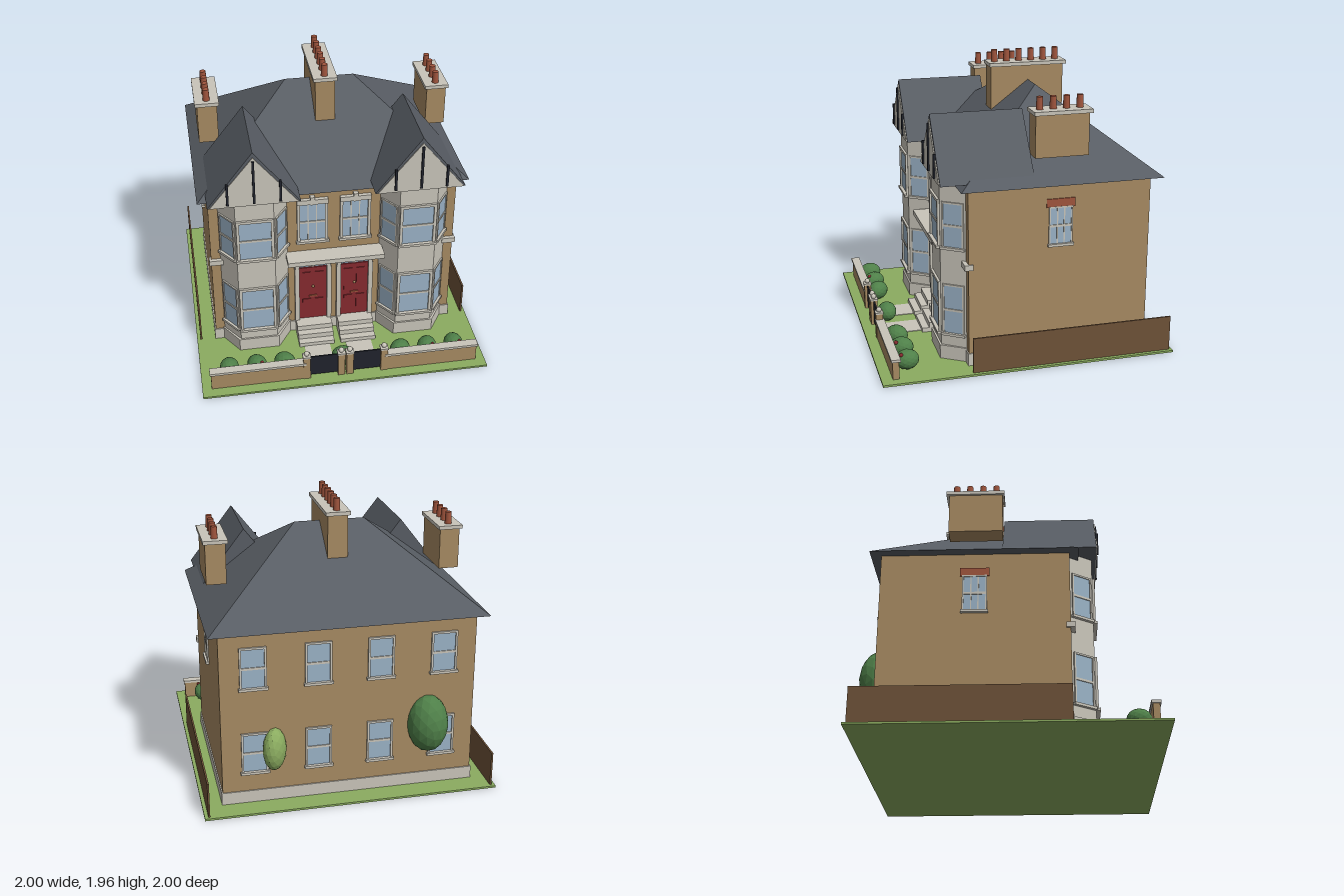
import * as THREE from 'three';

const mat = (name, color, flat = false) =>
  Object.assign(new THREE.MeshStandardMaterial({ color, flatShading: flat }), { name });
const brick = mat('buff brick', 0xa78a62), stone = mat('pale stone', 0xc9c5ba);
const slate = mat('slate', 0x585d64), glass = mat('window glass', 0x9ab2c6);
const red = mat('door red', 0x862a2f), black = mat('black paint', 0x20232c);
const clay = mat('terracotta', 0xa0553d), lawn = mat('grass green', 0x8bac60, true);
const leaf = mat('leaf green', 0x4f8049, true), wood = mat('fence brown', 0x6e5238);

function add(parent, name, geo, material, x = 0, y = 0, z = 0) {
  const m = new THREE.Mesh(geo, material);
  m.name = name;
  m.position.set(x, y, z);
  parent.add(m);
  return m;
}

// Box given by its limits on each axis
function box(parent, name, material, x0, x1, y0, y1, z0, z1) {
  return add(parent, name, new THREE.BoxGeometry(x1 - x0, y1 - y0, z1 - z0), material,
    (x0 + x1) / 2, (y0 + y1) / 2, (z0 + z1) / 2);
}

// Flat outline [x, y] pushed forward in z
function prism(points, depth) {
  const shape = new THREE.Shape(points.map(p => new THREE.Vector2(...p)));
  return new THREE.ExtrudeGeometry(shape, { depth, bevelEnabled: false });
}

function group(parent, name, x = 0, y = 0, z = 0, ry = 0) {
  const g = new THREE.Group();
  g.name = name;
  g.position.set(x, y, z);
  g.rotation.y = ry;
  parent.add(g);
  return g;
}

// Sash window facing local +z, origin at the bottom centre of the glass
function sashWindow(parent, name, x, y, z, ry, w, h, frame, bars, depth = 0.016) {
  const g = group(parent, name, x, y, z, ry), a = w / 2, b = a + frame;
  box(g, 'pane', glass, -a, a, 0, h, -0.005, 0.004);
  for (const s of [-1, 1])
    box(g, 'jamb', stone, Math.min(s * a, s * b), Math.max(s * a, s * b), 0, h, -0.005, depth);
  box(g, 'head', stone, -b, b, h, h + frame, -0.005, depth);
  box(g, 'sill', stone, -b - 0.008, b + 0.008, -0.018, 0, -0.005, depth + 0.012);
  box(g, 'meetingRail', stone, -a, a, h * 0.47, h * 0.47 + 0.016, 0, 0.01);
  for (let i = 1; i <= bars; i++) {
    const bx = -a + (w * i) / (bars + 1);
    box(g, 'glazingBar', stone, bx - 0.004, bx + 0.004, 0, h, 0, 0.009);
  }
  return g;
}

// Hipped roof: four slopes and a flat soffit
function hipRoof() {
  const X = 0.93, zf = 0.46, zb = -0.91, zr = -0.225, y = 1.235, t = 1.755, r = 0.24;
  const A = [-X, y, zf], B = [X, y, zf], C = [X, y, zb], D = [-X, y, zb], L = [-r, t, zr], R = [r, t, zr];
  const tris = [A, B, R, A, R, L, C, D, L, C, L, R, B, C, R, D, A, L, A, D, C, A, C, B];
  const g = new THREE.BufferGeometry();
  g.setAttribute('position', new THREE.Float32BufferAttribute(tris.flat(), 3));
  g.computeVertexNormals();
  return g;
}

function chimney(parent, name, x, y0, y1, z0, z1, pots) {
  const g = group(parent, name, x);
  box(g, 'stack', brick, -0.068, 0.068, y0, y1, z0, z1);
  box(g, 'cap', stone, -0.083, 0.083, y1 - 0.005, y1 + 0.02, z0 - 0.02, z1 + 0.012);
  for (const z of pots)
    add(g, 'pot', new THREE.CylinderGeometry(0.021, 0.024, 0.085, 12), clay, 0, y1 + 0.06, z);
}

// Canted bay with windows on two floors and a half-timbered gable
function bay(parent, x) {
  const g = group(parent, 'bay', x);
  const plan = k => [[-0.235 - k, -0.39], [-0.235 - k, -0.4], [-0.13 - k, -0.55 - k],
    [0.13 + k, -0.55 - k], [0.235 + k, -0.4], [0.235 + k, -0.39]];
  const layer = (name, k, y0, y1) =>
    add(g, name, prism(plan(k), y1 - y0).rotateX(-Math.PI / 2), stone, 0, y0);
  layer('bayWalls', 0, 0.01, 1.272);
  layer('bayBase', 0.012, 0.01, 0.11);
  for (const [y, h] of [[0.205, 0.335], [0.815, 0.295]]) {
    sashWindow(g, 'bayFrontWindow', 0, y, 0.55, 0, 0.215, h, 0.02, 0);
    for (const s of [-1, 1])
      sashWindow(g, 'baySideWindow', s * 0.1825, y, 0.475, s * Math.atan2(0.15, 0.105), 0.13, h, 0.012, 0, 0.01);
  }
  add(g, 'gableRoof', prism([[-0.31, 1.27], [0.31, 1.27], [0, 1.67]], 0.62), slate, 0, 0, -0.04);
  add(g, 'gablePanel', prism([[-0.295, 1.272], [0.295, 1.272], [0, 1.635]], 0.008), stone, 0, 0, 0.579);
  for (const [tx, top] of [[-0.175, 1.45], [0, 1.61], [0.175, 1.45]])
    box(g, 'timber', black, tx - 0.008, tx + 0.008, 1.29, top, 0.58, 0.598);
}

// Door with fanlight, pilasters and steps
function entrance(parent, x) {
  const g = group(parent, 'entrance', x);
  box(g, 'door', red, -0.1, 0.1, 0.12, 0.578, 0.395, 0.41);
  for (const s of [-1, 1]) {
    for (const [y0, y1] of [[0.16, 0.3], [0.35, 0.54]])
      box(g, 'doorPanel', red, s * 0.045 - 0.03, s * 0.045 + 0.03, y0, y1, 0.405, 0.416);
    box(g, 'pilaster', stone, s * 0.115 - 0.016, s * 0.115 + 0.016, 0.1, 0.585, 0.395, 0.43);
  }
  box(g, 'letterPlate', clay, -0.028, 0.028, 0.319, 0.331, 0.41, 0.418);
  add(g, 'doorKnob', new THREE.SphereGeometry(0.01, 10, 8), brick, 0, 0.415, 0.42);
  const arch = group(g, 'fanlight', 0, 0.582, 0.402);
  arch.scale.y = 0.86;
  add(arch, 'fanGlass', new THREE.CircleGeometry(0.1, 24, 0, Math.PI), glass, 0, 0, 0.003);
  const ring = new THREE.Shape();
  ring.absarc(0, 0, 0.128, 0, Math.PI, false);
  ring.absarc(0, 0, 0.1, Math.PI, 0, true);
  add(arch, 'archRing', new THREE.ExtrudeGeometry(ring, { depth: 0.028, bevelEnabled: false, curveSegments: 16 }), stone);
  for (const a of [-0.85, -0.28, 0.28, 0.85]) {
    const bar = add(arch, 'fanBar', new THREE.BoxGeometry(0.006, 0.1, 0.008).translate(0, 0.05, 0), stone, 0, 0, 0.004);
    bar.rotation.z = a;
  }
  for (let i = 0; i < 3; i++)
    box(g, 'step', stone, -0.127, 0.127, 0.01, 0.045 + i * 0.038, 0.4, 0.6 - i * 0.05);
  box(g, 'path', stone, -0.092, 0.092, 0.01, 0.018, 0.59, 0.88);
  box(g, 'gate', black, -0.099, 0.099, 0.03, 0.19, 0.9, 0.91);
}

function bush(parent, name, material, x, y, z, sx, sy, sz) {
  const m = add(parent, name, new THREE.IcosahedronGeometry(1, 2), material, x, y, z);
  m.scale.set(sx, sy, sz);
  m.rotation.y = x * 2;
}

export function createModel() {
  const model = new THREE.Group();
  model.name = 'house';
  box(model, 'lawn', lawn, -1, 1, 0, 0.014, -1, 1);

  // Main block and roof
  box(model, 'walls', brick, -0.86, 0.86, 0.01, 1.238, -0.84, 0.4);
  box(model, 'plinth', stone, -0.868, 0.868, 0.01, 0.1, -0.848, 0.408);
  add(model, 'mainRoof', hipRoof(), slate);
  chimney(model, 'centreChimney', 0, 1.5, 1.86, -0.478, 0.04, [0, -0.088, -0.176, -0.264, -0.352, -0.44]);
  box(model, 'porchCanopy', stone, -0.34, 0.34, 0.69, 0.725, 0.39, 0.535);
  box(model, 'canopyMoulding', stone, -0.31, 0.31, 0.675, 0.69, 0.39, 0.45);

  for (const s of [-1, 1]) {
    bay(model, s * 0.56);
    entrance(model, s * 0.15);
    chimney(model, 'sideChimney', s * 0.8, 1.41, 1.695, -0.4, -0.04, [-0.085, -0.175, -0.265, -0.355]);
    box(model, 'stringCourse', stone, s * 0.825 - 0.048, s * 0.825 + 0.048, 0.69, 0.728, 0.37, 0.428);

    // Upper front window with hood and keystone
    const w = sashWindow(model, 'frontWindow', s * 0.15, 0.82, 0.4, 0, 0.175, 0.3, 0.02, 2, 0.02);
    box(w, 'hood', stone, -0.108, 0.108, 0.305, 0.342, -0.005, 0.028);
    box(w, 'keystone', stone, -0.016, 0.016, 0.305, 0.366, -0.005, 0.034);

    // Side window with brick lintel
    const sw = sashWindow(model, 'sideWindow', s * 0.86, 0.822, -0.22, s * Math.PI / 2, 0.142, 0.245, 0.01, 2, 0.01);
    box(sw, 'lintel', clay, -0.097, 0.097, 0.25, 0.308, -0.005, 0.008);

    // Rear windows
    for (const x of [0.21, 0.64])
      for (const y of [0.245, 0.85])
        sashWindow(model, 'rearWindow', s * x, y, -0.84, Math.PI, 0.15, 0.265, 0.014, 0, 0.014);

    // Boundary fence, front wall and gate piers
    box(model, 'fence', wood, s * 0.97 - 0.006, s * 0.97 + 0.006, 0.01, 0.258, -0.98, 0.4);
    box(model, 'frontWall', brick, s * 0.61 - 0.325, s * 0.61 + 0.325, 0.01, 0.137, 0.882, 0.925);
    box(model, 'wallCoping', stone, s * 0.61 - 0.333, s * 0.61 + 0.333, 0.137, 0.155, 0.872, 0.934);
    for (const x of [0.03, 0.272]) {
      const p = group(model, 'gatePier', s * x, 0, 0.905);
      box(p, 'pierShaft', brick, -0.024, 0.024, 0.01, 0.195, -0.024, 0.024);
      box(p, 'pierCap', stone, -0.028, 0.028, 0.195, 0.207, -0.028, 0.028);
      add(p, 'pierBall', new THREE.SphereGeometry(0.019, 12, 8), stone, 0, 0.222, 0);
    }
  }

  // Planting
  for (const x of [-0.8, -0.605, -0.41, 0, 0.41, 0.605, 0.8])
    bush(model, 'frontBush', leaf, x, 0.083, 0.807, 0.081, 0.068, 0.068);
  for (const [x, z] of [[-0.575, 0.845], [0.635, 0.85], [0.83, 0.85]])
    add(model, 'flower', new THREE.SphereGeometry(0.014, 8, 6), red, x, 0.13, z);
  bush(model, 'rearBush', leaf, -0.54, 0.475, -0.85, 0.145, 0.205, 0.138);
  bush(model, 'rearShrub', lawn, 0.51, 0.4, -0.86, 0.1, 0.15, 0.075);
  return model;
}
